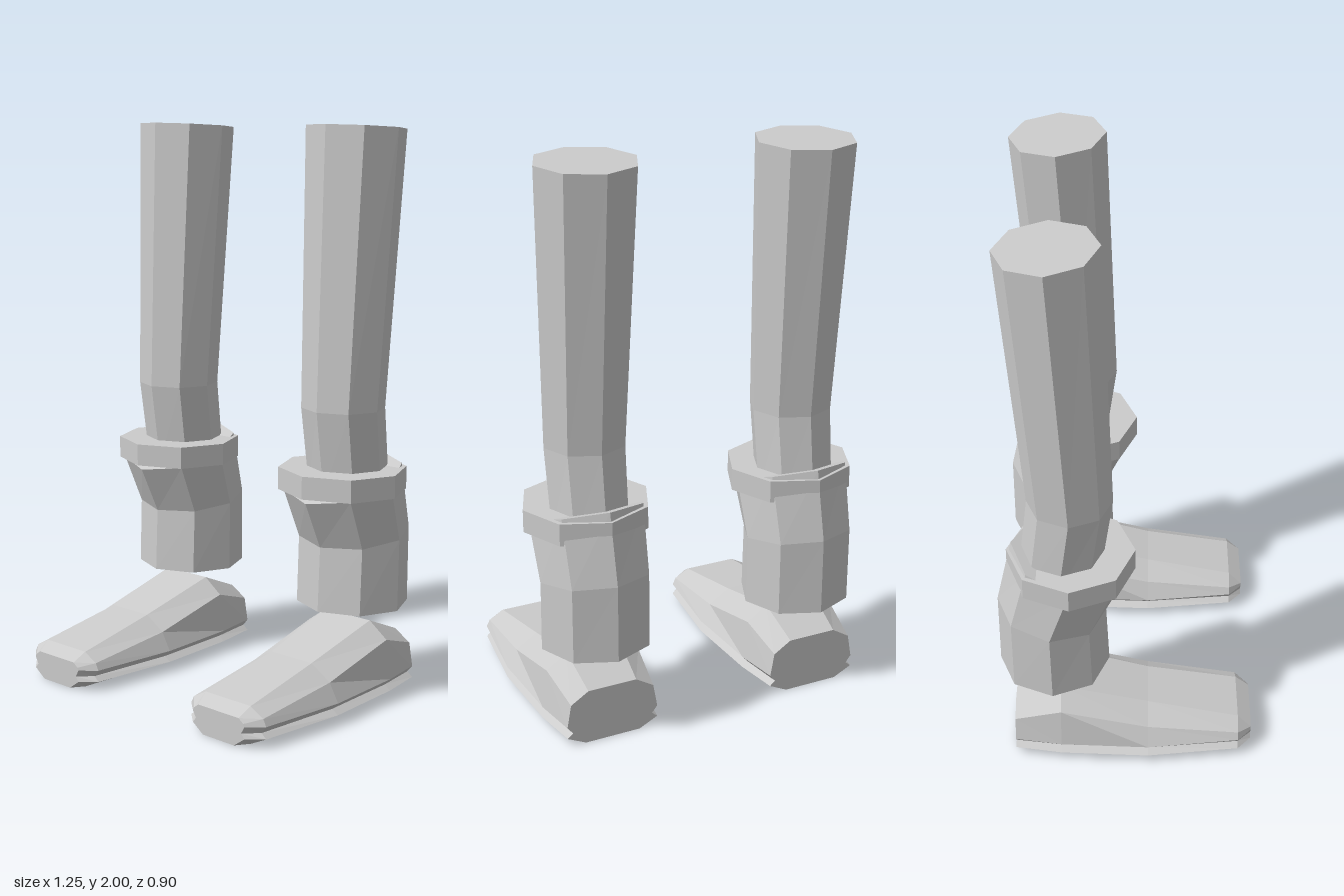
import * as THREE from 'three';

const material = new THREE.MeshStandardMaterial({ color: 0xcccccc, flatShading: true });

// Skin a series of equal-length rings (counter-clockwise seen from the last ring) and cap both ends
function loft(name, rings) {
  const pos = [];
  const tri = (...points) => points.forEach((p) => pos.push(p.x, p.y, p.z));
  const n = rings[0].length;
  for (let i = 0; i < rings.length - 1; i++) {
    for (let j = 0; j < n; j++) {
      const k = (j + 1) % n;
      const [a, b, c, d] = [rings[i][j], rings[i][k], rings[i + 1][k], rings[i + 1][j]];
      tri(a, b, c);
      tri(a, c, d);
    }
  }
  const cap = (ring, flip) => {
    const mid = ring.reduce((s, p) => s.add(p), new THREE.Vector3()).divideScalar(n);
    ring.forEach((p, j) => {
      const q = ring[(j + 1) % n];
      if (flip) tri(mid, q, p);
      else tri(mid, p, q);
    });
  };
  cap(rings[0], true);
  cap(rings[rings.length - 1], false);
  const geometry = new THREE.BufferGeometry();
  geometry.setAttribute('position', new THREE.Float32BufferAttribute(pos, 3));
  geometry.computeVertexNormals();
  const mesh = new THREE.Mesh(geometry, material);
  mesh.name = name;
  return mesh;
}

// Eight-sided ring; yFront and yBack tilt it along z
function octagon(yFront, yBack, zFront, zBack, rx) {
  const zc = (zFront + zBack) / 2, rz = (zFront - zBack) / 2;
  const yc = (yFront + yBack) / 2, ry = (yFront - yBack) / 2;
  return Array.from({ length: 8 }, (_, i) => {
    const a = (i * Math.PI) / 4;
    return new THREE.Vector3(Math.sin(a) * rx, yc + Math.cos(a) * ry, zc + Math.cos(a) * rz);
  });
}

// Shoe section: grooved sole, widest line, shoulder and flat top
function shoeSection([z, width, shoulder, yShoulder, top, yTop]) {
  const half = [
    [width * 0.6, 0], [width, 0.033], [width * 0.88, 0.05],
    [width, 0.075], [shoulder, yShoulder], [top, yTop],
  ];
  const mirrored = half.map(([x, y]) => [-x, y]).reverse();
  return [...half, ...mirrored].map(([x, y]) => new THREE.Vector3(x, y, z));
}

function createLeg(name, x) {
  const leg = new THREE.Group();
  leg.name = name;
  leg.position.x = x;

  // Upper leg, bent slightly above the cuff
  leg.add(loft('upperLeg', [
    octagon(0.74, 0.74, -0.085, -0.37, 0.14),
    octagon(1.03, 1.03, -0.043, -0.335, 0.147),
    octagon(2.0, 1.98, -0.073, -0.41, 0.177),
  ]));

  // Bent lower leg whose tilted top rises behind the cuff
  leg.add(loft('lowerLeg', [
    octagon(0.32, 0.32, -0.06, -0.45, 0.2),
    octagon(0.55, 0.6, -0.07, -0.45, 0.2),
    octagon(0.72, 0.85, 0.012, -0.395, 0.21),
  ]));

  // Flat cuff
  leg.add(loft('cuff', [
    octagon(0.74, 0.74, 0.033, -0.412, 0.228),
    octagon(0.82, 0.82, 0.033, -0.412, 0.228),
  ]));

  // Shoe from heel to toe: z, width, shoulder, shoulder height, top, top height
  leg.add(loft('shoe', [
    [-0.395, 0.17, 0.155, 0.16, 0.09, 0.2],
    [-0.23, 0.195, 0.175, 0.215, 0.1, 0.27],
    [0.08, 0.207, 0.17, 0.14, 0.09, 0.19],
    [0.405, 0.168, 0.155, 0.1, 0.1, 0.13],
    [0.453, 0.115, 0.11, 0.085, 0.09, 0.1],
  ].map(shoeSection)));
  return leg;
}

export function createModel() {
  const model = new THREE.Group();
  model.name = 'legs';
  model.add(createLeg('leftLeg', 0.397), createLeg('rightLeg', -0.397));
  return model;
}
